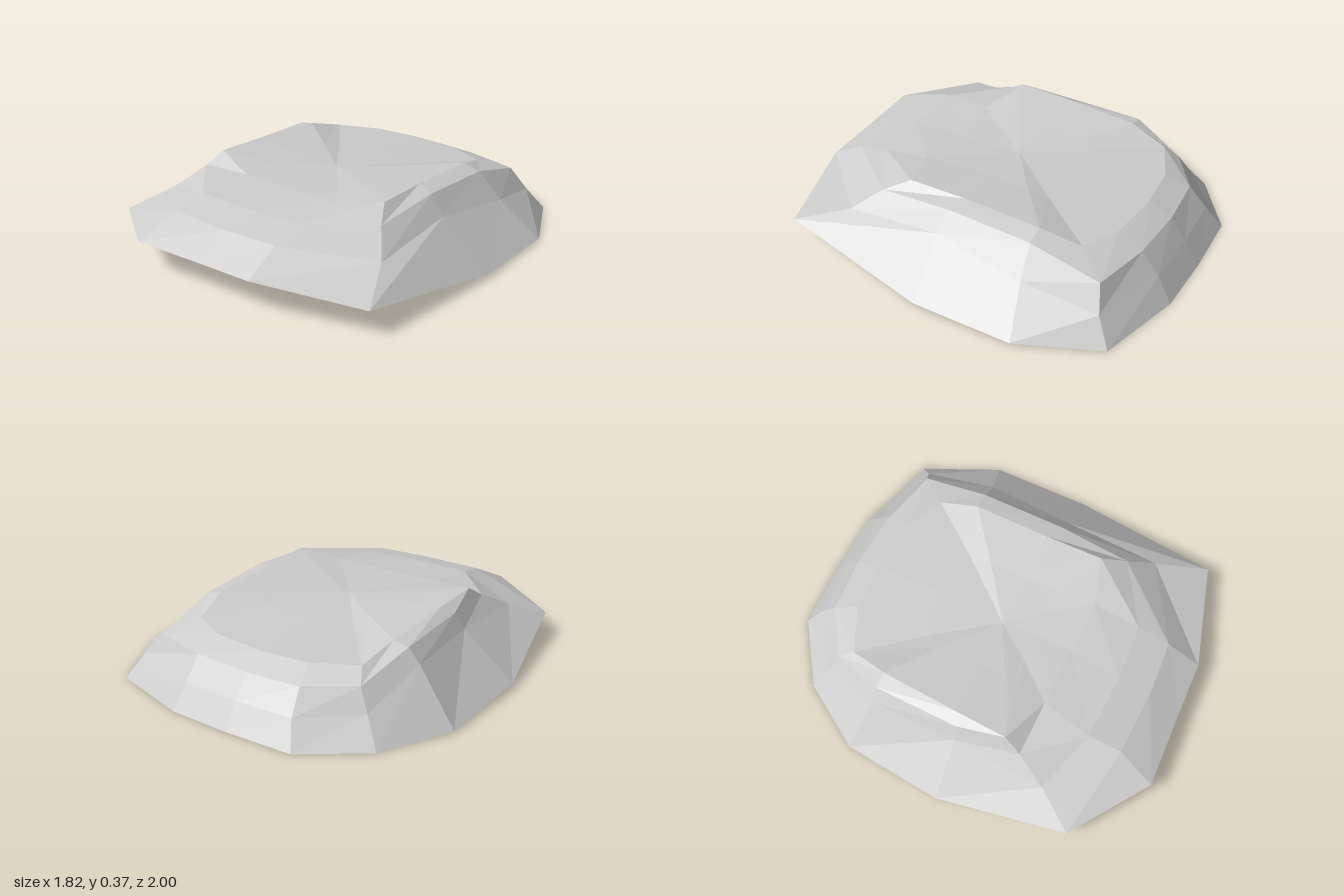
import * as THREE from 'three';

// Cross-section loops [x, y, z], starting at the front right and running counterclockwise seen from above
const hem = [
  [-0.40, 0.16, 1.00], [0.00, 0.16, 0.98], [0.27, 0.16, 0.97], [0.80, 0.13, 0.81],
  [0.91, 0.02, 0.03], [0.90, 0.01, -0.48], [0.72, 0, -0.87], [0.30, 0, -0.99],
  [-0.02, 0, -1.00], [-0.37, 0, -0.99], [-0.67, 0, -0.78], [-0.87, 0.01, -0.45],
  [-0.91, 0.03, 0.07], [-0.79, 0.13, 0.73],
];
const flank = [
  [-0.34, 0.26, 0.80], [-0.02, 0.26, 0.81], [0.27, 0.26, 0.79], [0.67, 0.21, 0.55],
  [0.66, 0.25, 0.05], [0.70, 0.19, -0.42], [0.65, 0.12, -0.79], [0.28, 0.12, -0.91],
  [-0.02, 0.12, -0.92], [-0.32, 0.12, -0.91], [-0.58, 0.13, -0.71], [-0.66, 0.26, -0.40],
  [-0.65, 0.26, 0.05], [-0.66, 0.22, 0.53],
];
const shoulder = [
  [-0.35, 0.30, 0.63], [-0.02, 0.30, 0.64], [0.27, 0.30, 0.62], [0.57, 0.31, 0.42],
  [0.58, 0.34, 0.03], [0.58, 0.32, -0.40], [0.57, 0.23, -0.75], [0.28, 0.23, -0.82],
  [-0.02, 0.23, -0.84], [-0.30, 0.23, -0.82], [-0.52, 0.23, -0.67], [-0.60, 0.33, -0.40],
  [-0.60, 0.335, 0.04], [-0.58, 0.31, 0.37],
];
const ridge = [
  [-0.30, 0.325, 0.37], [0.00, 0.32, 0.37], [0.27, 0.33, 0.37], [0.50, 0.365, 0.30],
  [0.49, 0.36, 0.00], [0.49, 0.345, -0.40], [0.45, 0.29, -0.60], [0.26, 0.285, -0.69],
  [-0.02, 0.285, -0.72], [-0.26, 0.285, -0.70], [-0.48, 0.29, -0.60], [-0.52, 0.345, -0.40],
  [-0.54, 0.365, 0.00], [-0.55, 0.37, 0.28],
];
// Inner loop and centre of the shallow dish on top
const dish = ridge.map(([x, y, z]) => [x * 0.5, 0.32 + (y - 0.32) * 0.4, z * 0.5]);
const centre = ridge.map(() => [-0.02, 0.32, 0]);

// Faceted band between an outer and an inner loop
function band(name, outer, inner, material) {
  const points = [];
  outer.forEach((a, i) => {
    const j = (i + 1) % outer.length;
    points.push(...a, ...outer[j], ...inner[j]);
    if (inner !== centre) points.push(...a, ...inner[j], ...inner[i]);
  });
  const geometry = new THREE.BufferGeometry();
  geometry.setAttribute('position', new THREE.Float32BufferAttribute(points, 3));
  geometry.computeVertexNormals();
  const mesh = new THREE.Mesh(geometry, material);
  mesh.name = name;
  return mesh;
}

export function createModel() {
  const group = new THREE.Group();
  group.name = 'facetedShell';
  const grey = new THREE.MeshStandardMaterial({ color: 0xcccccc, flatShading: true, side: THREE.DoubleSide });
  grey.name = 'light grey';

  // Open-bottomed shell, from the hem up to the dished top
  group.add(
    band('skirt', hem, flank, grey),
    band('flankBand', flank, shoulder, grey),
    band('ridgeBand', shoulder, ridge, grey),
    band('dishSlope', ridge, dish, grey),
    band('dishFloor', dish, centre, grey),
  );
  return group;
}
